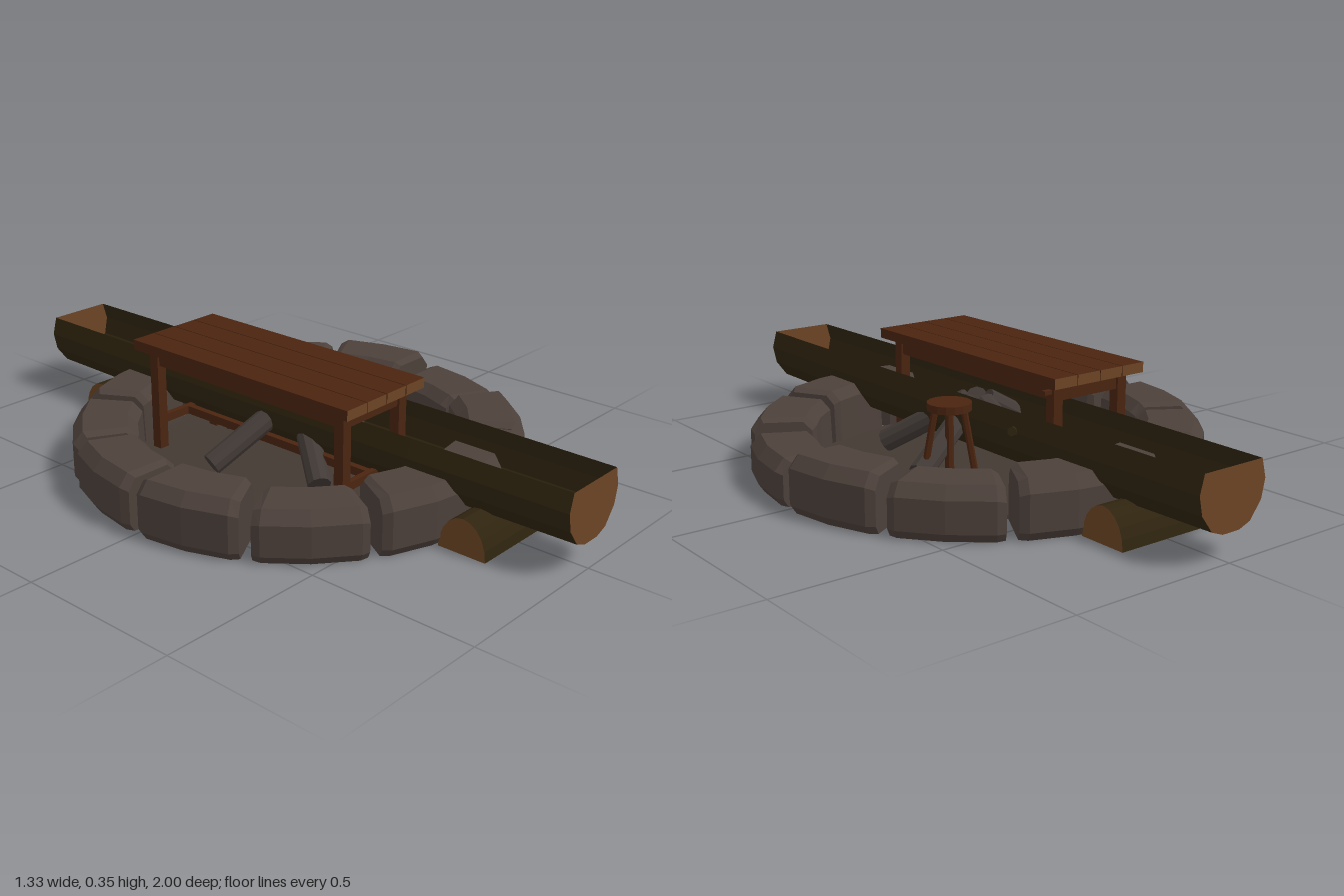
import * as THREE from 'three';

const mat = (name, color, side = THREE.FrontSide) => {
  const m = new THREE.MeshStandardMaterial({ color, side });
  m.name = name;
  return m;
};

// Faceted normals
const flat = (g) => {
  const f = g.index ? g.toNonIndexed() : g;
  f.computeVertexNormals();
  return f;
};

// Skin a list of matching cross-sections; solid ones are wrapped and capped
function loft(sections, solid) {
  const n = sections[0].length, pos = [];
  const tri = (...v) => v.forEach((p) => pos.push(...p));
  for (let s = 0; s < sections.length - 1; s++) {
    const A = sections[s], B = sections[s + 1];
    for (let i = 0; i < (solid ? n : n - 1); i++) {
      const j = (i + 1) % n;
      tri(A[i], A[j], B[j]);
      tri(A[i], B[j], B[i]);
    }
  }
  if (solid) {
    const A = sections[0], B = sections[sections.length - 1];
    for (let i = 1; i < n - 1; i++) {
      tri(A[0], A[i + 1], A[i]);
      tri(B[0], B[i], B[i + 1]);
    }
  }
  const g = new THREE.BufferGeometry();
  g.setAttribute('position', new THREE.Float32BufferAttribute(pos, 3));
  return flat(g);
}

export function createModel() {
  const root = new THREE.Group();
  root.name = 'firePit';

  const stone = mat('stone', 0x4c403a);
  const ash = mat('ashFloor', 0x443933);
  const char = mat('charredWood', 0x423a36);
  const bark = mat('bark', 0x2f240f, THREE.DoubleSide);
  const cut = mat('cutWood', 0x6b4424, THREE.DoubleSide);
  const plank = mat('redWood', 0x4a2410);

  const add = (parent, name, geo, material, x = 0, y = 0, z = 0) => {
    const m = new THREE.Mesh(geo, material);
    m.name = name;
    m.position.set(x, y, z);
    parent.add(m);
    return m;
  };
  const group = (name) => {
    const g = new THREE.Group();
    g.name = name;
    root.add(g);
    return g;
  };
  // Cylinder between two points
  const rod = (parent, name, a, b, r0, r1, sides, material) => {
    const A = new THREE.Vector3(...a), B = new THREE.Vector3(...b);
    const d = B.clone().sub(A);
    const m = add(parent, name, flat(new THREE.CylinderGeometry(r1, r0, d.length(), sides)), material);
    m.position.copy(A).add(B).multiplyScalar(0.5);
    m.quaternion.setFromUnitVectors(new THREE.Vector3(0, 1, 0), d.normalize());
    return m;
  };

  // Ring of twelve bevelled stones with straight gaps
  const ring = group('stoneRing');
  const heights = [0.135, 0.16, 0.17, 0.17, 0.15, 0.17, 0.165, 0.16, 0.165, 0.165, 0.15, 0.165];
  heights.forEach((h, k) => {
    const profile = [[0.47, 0], [0.65, 0], [0.667, 0.025], [0.667, h - 0.035],
      [0.637, h], [0.505, h], [0.475, h - 0.03]];
    const sections = [0, 0.08, 0.5, 0.92, 1].map((t) => {
      const end = t === 0 || t === 1;
      return profile.map(([r0, y0]) => {
        const r = end ? 0.57 + (r0 - 0.57) * 0.87 : r0;
        const y = end ? y0 * 0.93 : y0;
        const gap = Math.asin(0.016 / r);
        const a = (k * Math.PI) / 6 + gap + t * (Math.PI / 6 - 2 * gap);
        return [r * Math.cos(a), y, r * Math.sin(a)];
      });
    });
    add(ring, 'ringStone', loft(sections, true), stone);
  });
  add(root, 'pitFloor', flat(new THREE.CylinderGeometry(0.485, 0.485, 0.012, 24)), ash, 0, 0.006, 0);

  // Leaning fire logs
  const fire = group('fireLogs');
  for (let i = 0; i < 5; i++) {
    const a = ((54 + 72 * i) * Math.PI) / 180, c = Math.cos(a), s = Math.sin(a);
    rod(fire, 'fireLog', [c * 0.29, 0.05, s * 0.29], [c * 0.03, 0.2, s * 0.03], 0.034, 0.034, 10, char);
  }

  // Hollowed log lying across the ring
  const trough = group('hollowLog');
  const half = [[0.105, 0.25], [0.12, 0.195], [0.108, 0.14], [0.07, 0.09], [0.03, 0.075]];
  const outline = [...half.map(([x, y]) => [-x, y]), ...half.slice().reverse()];
  const section = (k) => outline.map(([x, y]) => [x * k, 0.25 + (y - 0.25) * k]);
  const stations = [[-1, 0.97], [-0.5, 1], [0.5, 1], [1, 0.97]];
  add(trough, 'logShell',
    loft(stations.map(([z, k]) => section(k).map(([x, y]) => [x, y, z])), false), bark);
  const endShape = new THREE.Shape(section(0.97).map(([x, y]) => new THREE.Vector2(x, y)));
  for (const z of [-1, 1]) {
    const cap = add(trough, 'logEnd', new THREE.ShapeGeometry(endShape), cut, 0, 0, z);
    if (z < 0) cap.rotation.y = Math.PI;
  }
  rod(trough, 'branchStub', [0.09, 0.19, -0.295], [0.13, 0.2, -0.32], 0.016, 0.014, 6, bark);

  // Half-round supports under both ends of the log
  const arch = new THREE.Shape();
  for (let i = 0; i <= 10; i++) {
    const a = (i * Math.PI) / 10;
    arch[i ? 'lineTo' : 'moveTo'](0.075 * Math.cos(a), 0.103 * Math.sin(a));
  }
  const supportGeo = new THREE.ExtrudeGeometry(arch, { depth: 0.315, bevelEnabled: false })
    .translate(0, 0, -0.1575).rotateY(Math.PI / 2);
  for (const z of [-0.715, 0.715]) add(root, 'logSupport', supportGeo, [cut, bark], 0, 0, z);

  // Plank table
  const table = group('table');
  const cx = -0.105;
  const box = (name, w, h, d, x, y, z, m = plank) =>
    add(table, name, new THREE.BoxGeometry(w, h, d), m, x, y, z);
  const plankFaces = [plank, plank, plank, plank, cut, cut];
  for (let i = 0; i < 4; i++) {
    box('tablePlank', 0.08, 0.03, 0.83, cx + (i - 1.5) * 0.083, 0.34, 0, plankFaces);
  }
  for (const s of [-1, 1]) {
    for (const t of [-1, 1]) box('tableLeg', 0.032, 0.315, 0.032, cx + s * 0.119, 0.1675, t * 0.362);
    box('sideApron', 0.018, 0.046, 0.7, cx + s * 0.119, 0.302, 0);
    box('endApron', 0.21, 0.048, 0.018, cx, 0.301, s * 0.362);
    box('endStretcher', 0.21, 0.025, 0.018, cx, 0.1, s * 0.362);
  }
  box('longStretcher', 0.02, 0.025, 0.71, cx, 0.1, 0);
  box('tablePeg', 0.03, 0.012, 0.014, 0.04, 0.305, -0.362);

  // Round stool with splayed legs
  const stool = group('stool');
  stool.position.set(0.2, 0, -0.13);
  add(stool, 'stoolSeat', flat(new THREE.CylinderGeometry(0.064, 0.064, 0.022, 16)), plank, 0, 0.245, 0);
  for (let i = 0; i < 4; i++) {
    const a = 0.6 + (i * Math.PI) / 2, c = Math.cos(a), s = Math.sin(a);
    rod(stool, 'stoolLeg', [c * 0.078, 0.012, s * 0.078], [c * 0.04, 0.236, s * 0.04], 0.01, 0.01, 6, plank);
  }

  return root;
}
